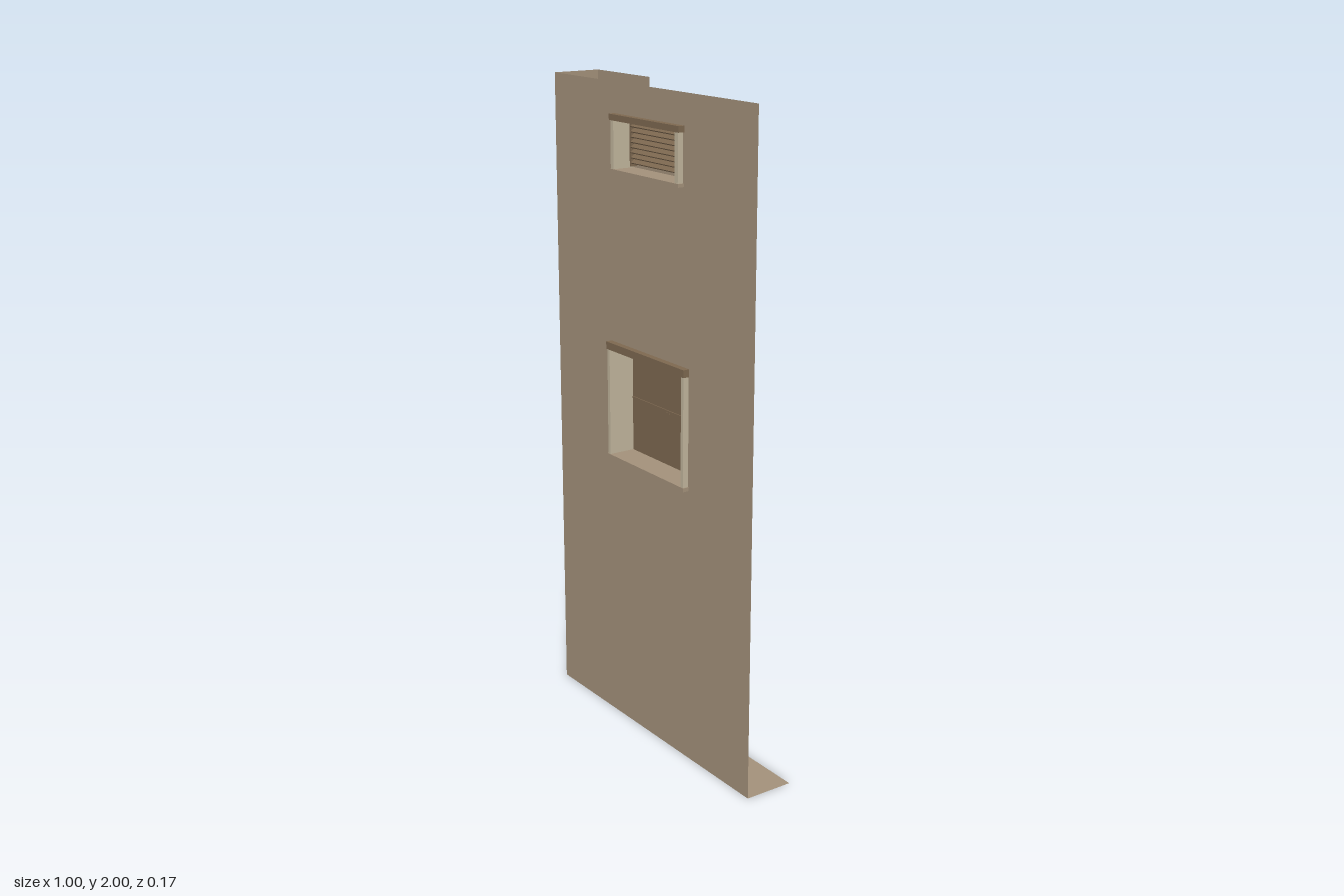
import * as THREE from 'three';

const mat = (name, color, side = THREE.FrontSide) => {
  const m = new THREE.MeshStandardMaterial({ color, side });
  m.name = name;
  return m;
};

export function createModel() {
  const wallPaint = mat('wall tan', 0xa3917a, THREE.DoubleSide);
  const brown = mat('trim brown', 0x7d6850);
  const cream = mat('jamb cream', 0xc0b59c);
  const model = new THREE.Group();
  model.name = 'wallPanel';

  const FRONT = 0.067, BACK = -0.088, LIP = 0.087;

  const add = (parent, name, geometry, material) => {
    const mesh = new THREE.Mesh(geometry, material);
    mesh.name = name;
    parent.add(mesh);
    return mesh;
  };
  // Box given by its extents on each axis
  const box = (parent, name, material, [x0, x1], [y0, y1], [z0, z1]) => {
    const m = add(parent, name, new THREE.BoxGeometry(x1 - x0, y1 - y0, z1 - z0), material);
    m.position.set((x0 + x1) / 2, (y0 + y1) / 2, (z0 + z1) / 2);
    return m;
  };
  const rectangle = (Type, w, y0, y1) => new Type([
    new THREE.Vector2(-w, y0), new THREE.Vector2(w, y0),
    new THREE.Vector2(w, y1), new THREE.Vector2(-w, y1),
  ]);

  // Front sheet with openings for window and vent
  const face = rectangle(THREE.Shape, 0.5, 0, 2);
  face.holes.push(rectangle(THREE.Path, 0.187, 0.868, 1.215));
  face.holes.push(rectangle(THREE.Path, 0.16, 1.745, 1.9));
  add(model, 'frontWall', new THREE.ShapeGeometry(face), wallPaint).position.z = FRONT;

  // Folded sheets: side return, back flange and floor
  const depth = FRONT - BACK, midZ = (FRONT + BACK) / 2;
  const side = add(model, 'sideReturn', new THREE.PlaneGeometry(depth, 2), wallPaint);
  side.rotation.y = -Math.PI / 2;
  side.position.set(-0.5, 1, midZ);
  const flange = add(model, 'backFlange', new THREE.PlaneGeometry(0.28, 2), wallPaint);
  flange.rotation.y = Math.PI;
  flange.position.set(-0.36, 1, BACK);
  const floor = add(model, 'floorSheet', new THREE.PlaneGeometry(1, depth), wallPaint);
  floor.rotation.x = -Math.PI / 2;
  floor.position.set(0, 0, midZ);

  // Recessed frame: header, sill, two jambs and a back plate
  const frame = (name, w, y0, y1, z0, header, sill, jamb, inset) => {
    const g = new THREE.Group();
    g.name = name;
    model.add(g);
    box(g, 'header', brown, [-w, w], [y1 - header, y1], [z0, LIP]);
    box(g, 'sill', wallPaint, [-w, w], [y0, y0 + sill], [z0, LIP]);
    for (const s of [-1, 1]) {
      const xs = [s * (w - inset), s * (w - inset - jamb)].sort((a, b) => a - b);
      box(g, 'jamb', cream, xs, [y0 + sill, y1 - header], [z0, LIP - 0.002]);
    }
    const r = w - inset - jamb;
    box(g, 'backPlate', wallPaint, [-r, r], [y0 + sill, y1 - header], [z0 - 0.003, z0 + 0.002]);
    return g;
  };

  // Window with a closed panel and a thin middle rail
  const win = frame('window', 0.2, 0.862, 1.228, -0.006, 0.023, 0.012, 0.012, 0.003);
  box(win, 'panel', brown, [-0.185, 0.185], [0.874, 1.205], [-0.004, 0.001]);
  box(win, 'middleRail', brown, [-0.185, 0.185], [1.04, 1.046], [0.001, 0.004]);
  box(win, 'latch', brown, [-0.012, 0.012], [1.034, 1.04], [0.001, 0.005]);

  // Vent with tilted slats
  const vent = frame('vent', 0.173, 1.742, 1.91, 0.011, 0.018, 0.01, 0.015, 0.005);
  const count = 8, bottom = 1.765, pitch = 0.015;
  for (let i = 0; i < count; i++) {
    const y = bottom + (i + 0.5) * pitch;
    const slat = box(vent, 'slat', brown, [-0.14, 0.14], [y - 0.002, y + 0.002], [0.018, 0.036]);
    slat.rotation.x = 0.6;
  }
  for (const s of [-1, 1]) {
    const xs = s < 0 ? [-0.145, -0.138] : [0.138, 0.145];
    box(vent, 'slatRail', brown, xs, [1.757, 1.888], [0.013, 0.034]);
  }
  return model;
}
